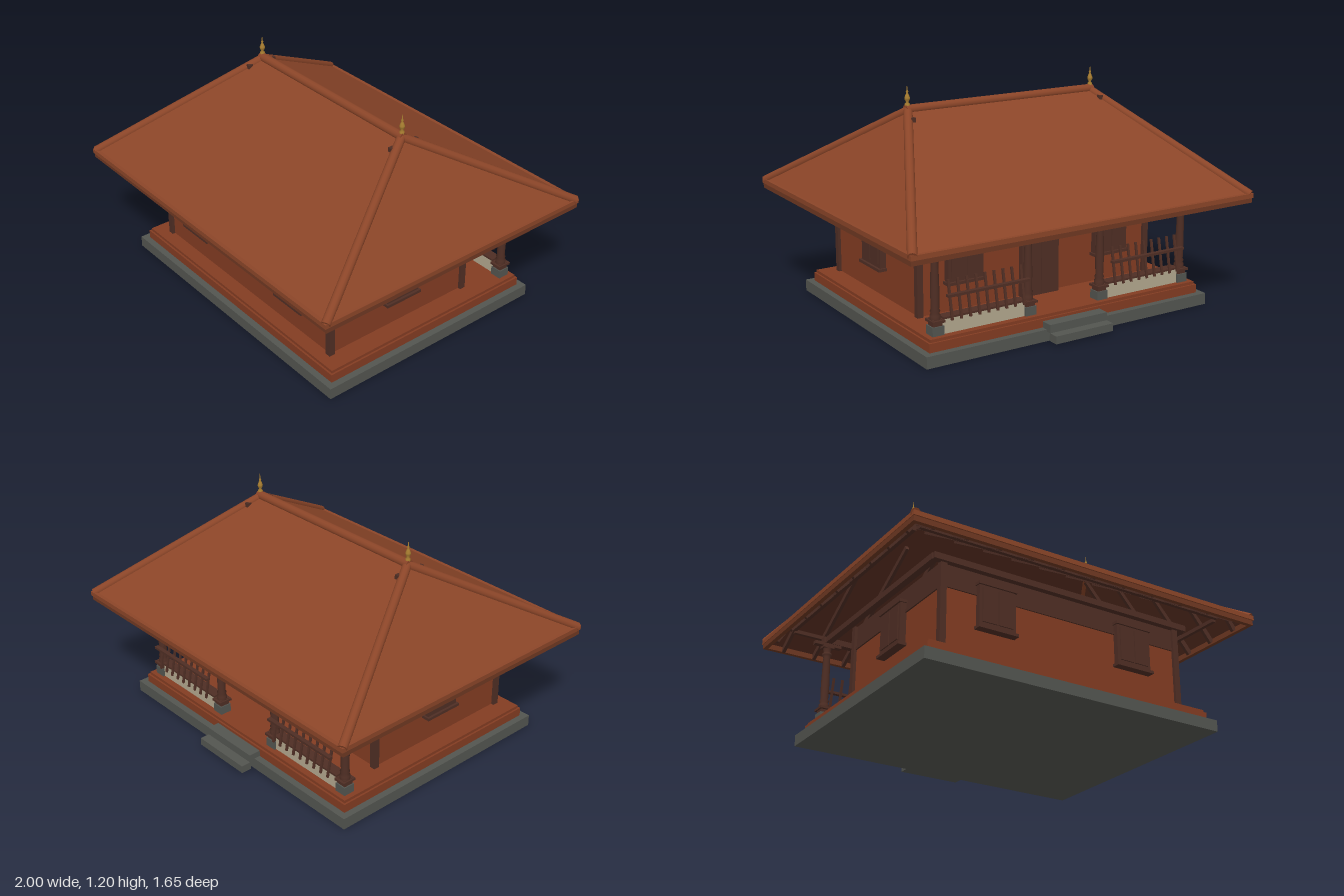
import * as THREE from 'three';

const mat = (name, color, side = THREE.FrontSide) => {
  const m = new THREE.MeshStandardMaterial({ color, side });
  m.name = name;
  return m;
};

export function createModel() {
  const house = new THREE.Group();
  house.name = 'verandahHouse';

  const tile = mat('roofTile', 0x8b4528, THREE.DoubleSide);
  const brick = mat('brickWall', 0x833c22);
  const wood = mat('darkWood', 0x4f2e24);
  const trim = mat('fasciaWood', 0x6f3822);
  const stone = mat('greyStone', 0x535550);
  const plaster = mat('creamPlaster', 0xb3a78e);
  const brass = mat('brass', 0xa67c30);

  const add = (name, geo, material, x = 0, y = 0, z = 0, parent = house) => {
    const m = new THREE.Mesh(geo, material);
    m.name = name;
    m.position.set(x, y, z);
    parent.add(m);
    return m;
  };
  // Box given by its centre in x and z and its bottom and top heights
  const block = (name, material, x, z, w, d, y0, y1, parent) =>
    add(name, new THREE.BoxGeometry(w, y1 - y0, d), material, x, (y0 + y1) / 2, z, parent);
  // Straight square timber between two points
  const beam = (name, material, a, b, w, h, parent) => {
    const p = new THREE.Vector3(...a), q = new THREE.Vector3(...b);
    const m = add(name, new THREE.BoxGeometry(w, h, p.distanceTo(q)), material, 0, 0, 0, parent);
    m.position.copy(p).add(q).multiplyScalar(0.5);
    m.lookAt(q);
    return m;
  };
  // Round tile cap between two points
  const cap = (name, a, b, r) => {
    const p = new THREE.Vector3(...a), q = new THREE.Vector3(...b);
    const m = add(name, new THREE.CylinderGeometry(r, r, p.distanceTo(q), 12), tile);
    m.position.copy(p).add(q).multiplyScalar(0.5);
    m.quaternion.setFromUnitVectors(new THREE.Vector3(0, 1, 0), q.sub(p).normalize());
  };
  const lathe = (pts, n) =>
    new THREE.LatheGeometry(pts.map(([r, y]) => new THREE.Vector2(r, y)), n);

  // Stepped plinth and entrance steps
  block('stoneBase', stone, 0, 0, 1.67, 1.33, 0, 0.06);
  block('brickPlinth', brick, 0, 0, 1.6, 1.26, 0.06, 0.105);
  block('plinthLip', brick, 0, 0, 1.58, 1.24, 0.105, 0.12);
  block('upperStep', stone, 0, -0.662, 0.34, 0.064, 0.05, 0.092);
  block('lowerStep', stone, 0, -0.718, 0.34, 0.056, 0.01, 0.05);

  // Walls with timber band, rail and corner posts
  const cz = 0.11;
  block('walls', brick, 0, cz, 1.37, 0.87, 0.12, 0.45);
  block('timberBand', wood, 0, cz, 1.372, 0.872, 0.45, 0.57);
  block('bandRail', wood, 0, cz, 1.385, 0.885, 0.44, 0.455);
  for (const x of [-0.685, 0.685])
    for (const z of [-0.325, 0.545])
      block('cornerPost', wood, x, z, 0.032, 0.032, 0.12, 0.57);

  // Shuttered window, facing local +z
  const window = (x, z, turn, y0 = 0.27, y1 = 0.505) => {
    const g = new THREE.Group();
    g.name = 'window';
    block('windowFrame', wood, 0, 0, 0.2, 0.036, y0, y1, g);
    for (const s of [-1, 1])
      block('shutter', wood, s * 0.044, 0.02, 0.08, 0.008, y0 + 0.03, y1 - 0.03, g);
    block('windowSill', wood, 0, 0.006, 0.22, 0.05, y0 - 0.006, y0 + 0.009, g);
    block('windowHead', wood, 0, 0.004, 0.212, 0.046, y1 - 0.015, y1, g);
    g.position.set(x, 0, z);
    g.rotation.y = turn;
    house.add(g);
  };
  for (const s of [-1, 1]) {
    window(s * 0.4, 0.557, 0);
    window(s * 0.7, cz, s * Math.PI / 2);
    window(s * 0.44, -0.343, Math.PI, 0.27, 0.525);
  }

  // Verandah door
  block('doorFrame', wood, 0, -0.337, 0.22, 0.044, 0.12, 0.53);
  for (const s of [-1, 1])
    block('doorLeaf', wood, s * 0.045, -0.361, 0.084, 0.008, 0.135, 0.505);

  // Turned verandah columns on stone blocks
  const shaft = lathe([[0.026, 0.195], [0.026, 0.215], [0.02, 0.225], [0.025, 0.235], [0.02, 0.245],
    [0.022, 0.33], [0.018, 0.48], [0.025, 0.49], [0.025, 0.5], [0.018, 0.508], [0.024, 0.535]], 16);
  const colZ = -0.565;
  for (const x of [-0.732, -0.215, 0.215, 0.732]) {
    const g = new THREE.Group();
    g.name = 'column';
    block('columnStone', stone, 0, 0, 0.062, 0.062, 0.12, 0.165, g);
    block('columnFoot', wood, 0, 0, 0.05, 0.05, 0.165, 0.198, g);
    block('columnCollar', wood, 0, 0, 0.066, 0.076, 0.183, 0.195, g);
    add('columnShaft', shaft, wood, 0, 0, 0, g);
    block('capital', wood, 0, 0, 0.06, 0.045, 0.53, 0.552, g);
    block('bracket', wood, 0, 0, 0.15, 0.03, 0.542, 0.56, g);
    g.position.set(x, 0, colZ);
    house.add(g);
  }

  // Verandah beams
  block('verandahBeam', wood, 0, colZ, 1.52, 0.035, 0.558, 0.59);
  for (const s of [-1, 1])
    block('sideBeam', wood, s * 0.732, -0.01, 0.035, 1.14, 0.558, 0.59);
  block('frontBeam', wood, 0, 0.56, 1.49, 0.035, 0.558, 0.59);

  // Plastered benches with raking backrests
  for (const s of [-1, 1]) {
    const x = s * 0.4735;
    block('benchWall', plaster, x, colZ, 0.455, 0.04, 0.12, 0.195);
    block('benchSeat', wood, x, colZ, 0.455, 0.055, 0.195, 0.205);
    block('backrestRail', wood, x, -0.627, 0.455, 0.022, 0.313, 0.326);
    for (let i = 0; i < 9; i++) {
      const bx = x + (i - 4) * 0.05;
      beam('backrestSlat', wood, [bx, 0.195, -0.624], [bx, 0.385, -0.587], 0.012, 0.009);
    }
  }

  // Hipped roof shell
  const EX = 0.985, EZ = 0.815, EY = 0.605, RX = 0.55, RY = 1.075;
  const roofShell = (drop) => {
    const A = [-EX, EY - drop, EZ], B = [EX, EY - drop, EZ], C = [EX, EY - drop, -EZ],
      D = [-EX, EY - drop, -EZ], L = [-RX, RY - drop, 0], R = [RX, RY - drop, 0];
    const faces = [A, B, R, A, R, L, C, D, L, C, L, R, B, C, R, D, A, L];
    const g = new THREE.BufferGeometry();
    g.setAttribute('position', new THREE.Float32BufferAttribute(faces.flat(), 3));
    g.computeVertexNormals();
    return g;
  };
  add('roofTiles', roofShell(0), tile);
  const lining = roofShell(0.02);
  lining.scale(0.99, 1, 0.99);
  add('roofLining', lining, mat('roofLiningWood', 0x5c3022, THREE.DoubleSide));

  // Eaves boards
  for (const s of [-1, 1]) {
    block('eavesBoard', trim, 0, s * 0.805, 1.98, 0.022, 0.562, 0.59);
    block('eavesBoard', trim, s * 0.979, 0, 0.022, 1.6, 0.562, 0.59);
    block('tileEdge', tile, 0, s * 0.812, 1.986, 0.022, 0.588, 0.612);
    block('tileEdge', tile, s * 0.982, 0, 0.022, 1.62, 0.588, 0.612);
  }

  // Rafters, cut where they meet the hips
  const run = EX - RX, lift = RY - EY, foot = 0.57;
  for (const s of [-1, 1]) {
    for (let i = -5; i <= 5; i++) {
      const x = i * 0.176;
      const z0 = Math.max(0.1, (Math.abs(x) - RX) / run * EZ);
      beam('rafter', wood, [x, foot, s * 0.8], [x, foot + lift * (1 - z0 / EZ), s * z0], 0.018, 0.028);
    }
    for (let i = -4; i <= 4; i++) {
      const z = i * 0.175;
      const t = Math.abs(z) / EZ;
      beam('sideRafter', wood, [s * 0.965, foot, z],
        [s * (RX + run * t), foot + lift * (1 - t), z], 0.018, 0.028);
    }
    // Purlin halfway across the eaves overhang
    beam('purlin', wood, [-0.88, 0.635, s * 0.67], [0.88, 0.635, s * 0.67], 0.02, 0.02);
    beam('sidePurlin', wood, [s * 0.89, 0.635, -0.64], [s * 0.89, 0.635, 0.64], 0.02, 0.02);
  }

  // Ridge and hip caps, gablet ends and finials
  cap('ridgeCap', [-0.565, 1.073, 0], [0.565, 1.073, 0], 0.024);
  const finial = lathe([[0.013, 0], [0.013, 0.012], [0.006, 0.02], [0.013, 0.033], [0.014, 0.042],
    [0.008, 0.058], [0.004, 0.066], [0.007, 0.072], [0.003, 0.08], [0, 0.112]], 12);
  for (const sx of [-1, 1]) {
    for (const sz of [-1, 1]) {
      cap('hipCap', [sx * 0.55, 1.068, 0], [sx * 0.98, 0.604, sz * 0.812], 0.023);
      block('gabletEnd', wood, sx * 0.566, sz * 0.075, 0.022, 0.026, 1.02, 1.047);
    }
    add('finial', finial, brass, sx * 0.553, 1.09, 0);
  }
  return house;
}
